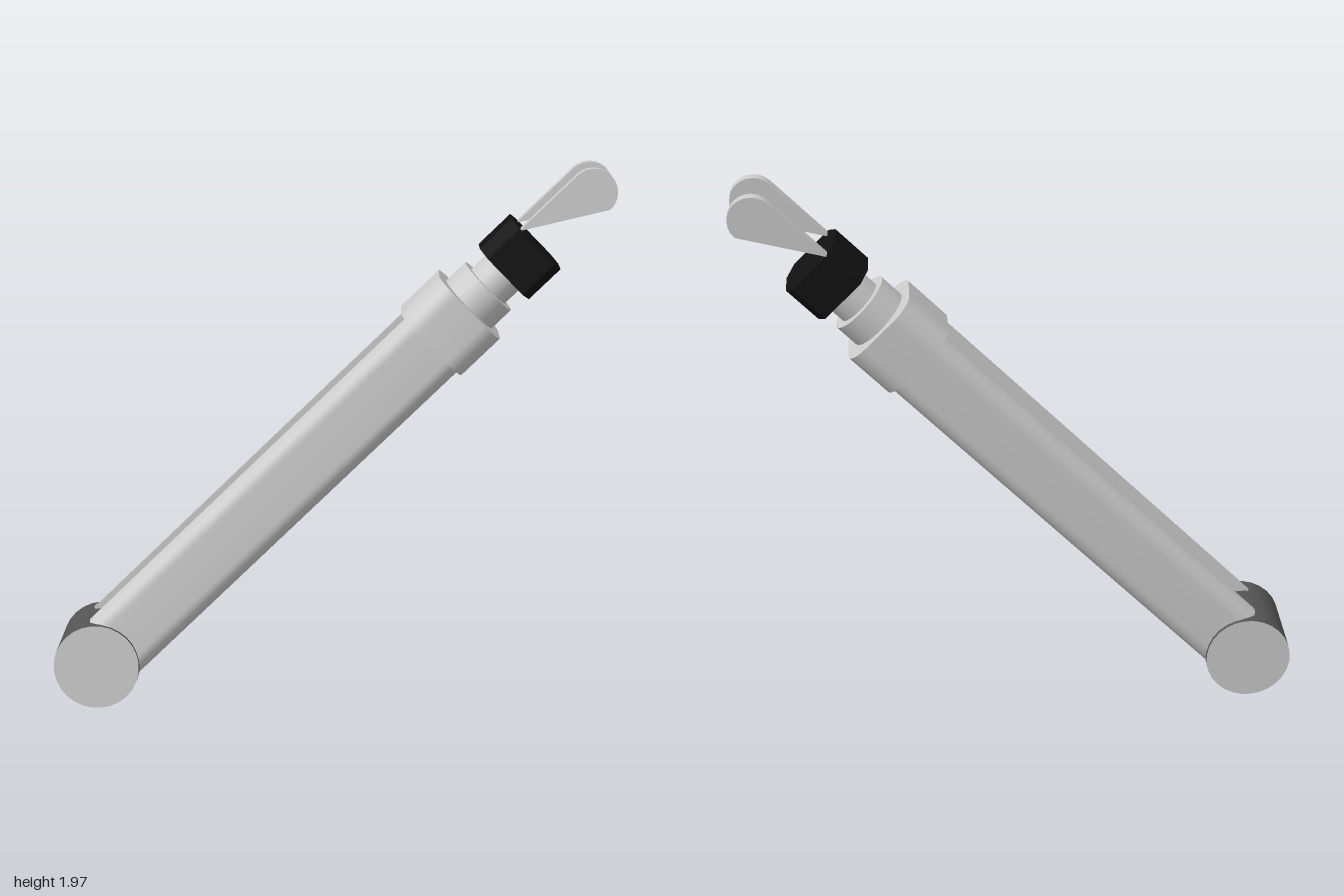
import * as THREE from 'three';
import { toCreasedNormals } from 'three/addons/utils/BufferGeometryUtils.js';

const grey = new THREE.MeshStandardMaterial({ color: 0xcccccc });
const dark = new THREE.MeshStandardMaterial({ color: 0x555555 });
const black = new THREE.MeshStandardMaterial({ color: 0x111111, flatShading: true });

function add(parent, name, geometry, material = grey) {
  const mesh = new THREE.Mesh(geometry, material);
  mesh.name = name;
  parent.add(mesh);
  return mesh;
}

// Extrude a cross-section along the arm (local +x) from t0 to t1; shape x becomes -z
function alongArm(shape, t0, t1) {
  const g = new THREE.ExtrudeGeometry(shape, { depth: t1 - t0, bevelEnabled: false, curveSegments: 6 });
  return toCreasedNormals(g.rotateY(Math.PI / 2).translate(t0, 0, 0), 0.6);
}

// Round bar along the arm
function bar(radius, t0, t1) {
  return new THREE.CylinderGeometry(radius, radius, t1 - t0, 24)
    .rotateZ(-Math.PI / 2).translate((t0 + t1) / 2, 0, 0);
}

function roundedSquare(w, h, r) {
  const s = new THREE.Shape();
  s.absarc(w - r, h - r, r, 0, Math.PI / 2);
  s.absarc(r - w, h - r, r, Math.PI / 2, Math.PI);
  s.absarc(r - w, r - h, r, Math.PI, Math.PI * 1.5);
  s.absarc(w - r, r - h, r, Math.PI * 1.5, Math.PI * 2);
  return s;
}

export function createModel() {
  const model = new THREE.Group();
  model.name = 'model';
  const arm = new THREE.Group();
  arm.name = 'arm';
  model.add(arm);

  // Local x runs along the arm, local z along the pivot axis
  const u = new THREE.Vector3(0.715, 0.699, -0.025).normalize();
  const v = new THREE.Vector3(-0.032, 0.065, 0.997).cross(u).normalize();
  const w = u.clone().cross(v);
  arm.quaternion.setFromRotationMatrix(new THREE.Matrix4().makeBasis(u, v, w));
  arm.position.set(-0.845, 0.172, 0.015);

  // Pivot barrel with pale end caps
  add(arm, 'pivotBarrel', new THREE.CylinderGeometry(0.154, 0.154, 0.31, 28, 1, true).rotateX(Math.PI / 2), dark);
  for (const side of [1, -1]) {
    const cap = add(arm, 'pivotCap', new THREE.CircleGeometry(0.154, 28));
    cap.position.z = side * 0.155;
    if (side < 0) cap.rotation.y = Math.PI;
  }

  // Two long rails, flat inside and rounded outside
  const rail = new THREE.Shape();
  rail.moveTo(0.066, -0.132);
  rail.absarc(0.08, -0.072, 0.06, -Math.PI / 2, 0);
  rail.absarc(0.08, 0.072, 0.06, 0, Math.PI / 2);
  rail.lineTo(0.066, 0.132);
  for (const side of [1, -1]) {
    const mesh = add(arm, 'rail', alongArm(rail, 0.09, 1.7));
    if (side > 0) { // turn half way round for the opposite side
      mesh.rotation.x = Math.PI;
    }
  }

  // Collar, sleeve and rod
  add(arm, 'collar', alongArm(roundedSquare(0.152, 0.153, 0.085), 1.675, 1.862));
  add(arm, 'sleeve', bar(0.117, 1.84, 1.955));
  add(arm, 'rod', bar(0.085, 1.94, 2.06));

  // Black nut with chamfered corners
  const nut = new THREE.Shape([
    [0.06, -0.124], [0.123, -0.088], [0.123, 0.088], [0.06, 0.124],
    [-0.06, 0.124], [-0.123, 0.088], [-0.123, -0.088], [-0.06, -0.124],
  ].map(([x, y]) => new THREE.Vector2(x, y)));
  add(arm, 'nut', alongArm(nut, 2.03, 2.183), black);

  // Fork plates with rounded tips
  const plate = new THREE.Shape();
  plate.moveTo(2.175, -0.083);
  plate.absarc(2.452, 0, 0.083, -Math.PI / 2, Math.PI / 2);
  plate.lineTo(2.175, 0.083);
  const plateGeometry = toCreasedNormals(
    new THREE.ExtrudeGeometry(plate, { depth: 0.042, bevelEnabled: false, curveSegments: 6 }), 0.6);
  for (const z of [0.08, -0.122]) add(arm, 'forkPlate', plateGeometry).position.z = z;

  return model;
}
